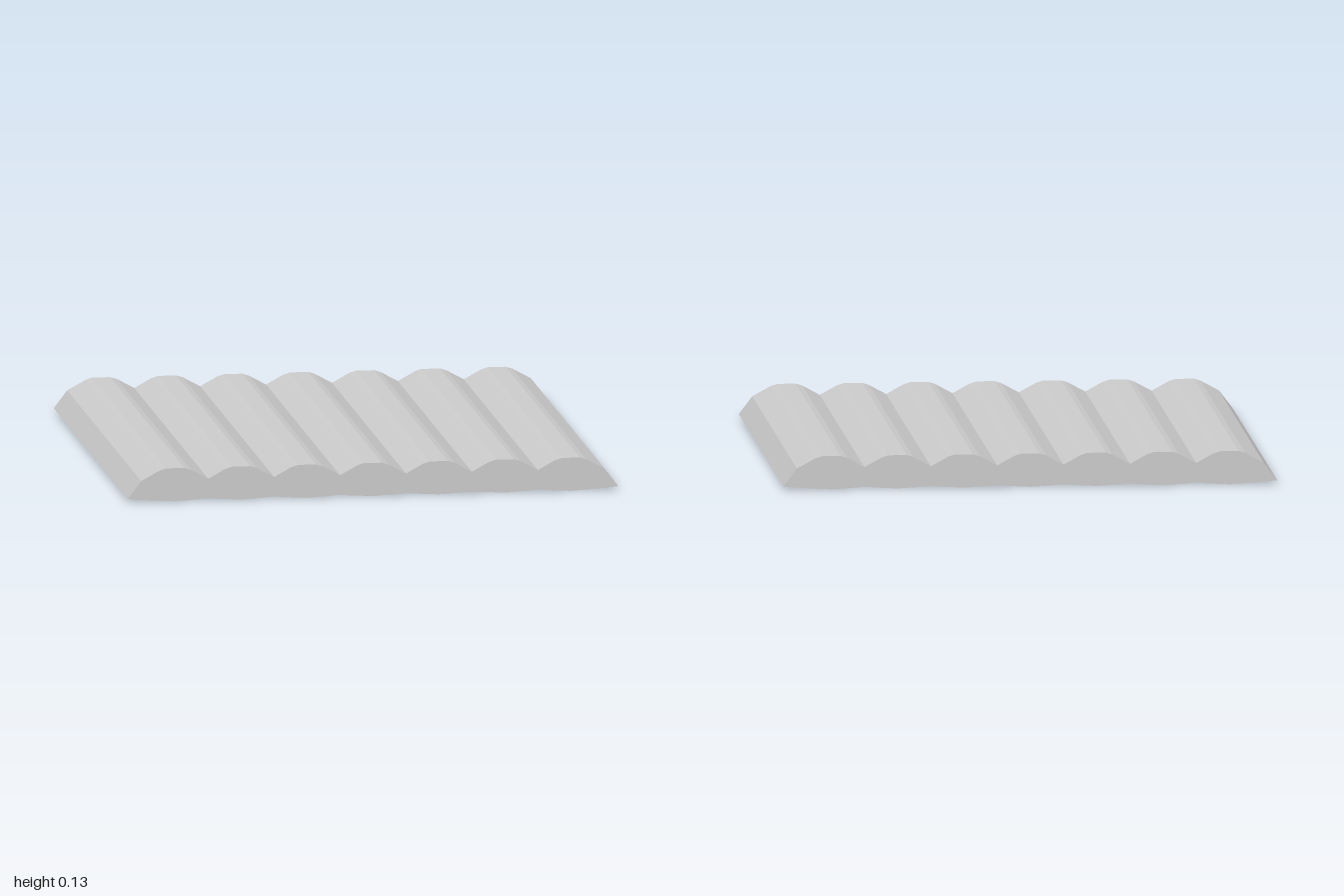
import * as THREE from 'three';

const COUNT = 7, SPACING = 0.261, HALF_LENGTH = 1;

// Half of the rounded arch section, from the foot up to the crown
const HALF = [[0.188, 0.014], [0.135, 0.084], [0.062, 0.124], [0.036, 0.132]];
const ARCH = [...HALF, ...HALF.map(([x, y]) => [-x, y]).reverse()];
// Shallow sagging lower edge of the end plates
const SAG = [[-0.1, 0.006], [0, 0], [0.1, 0.006]];

// Open-bottomed sheet: the arch section swept along z
function sheetGeometry() {
  const pos = [];
  for (let i = 0; i < ARCH.length - 1; i++) {
    const [ax, ay] = ARCH[i], [bx, by] = ARCH[i + 1], L = HALF_LENGTH;
    pos.push(ax, ay, L, ax, ay, -L, bx, by, -L);
    pos.push(ax, ay, L, bx, by, -L, bx, by, L);
  }
  const geo = new THREE.BufferGeometry();
  geo.setAttribute('position', new THREE.Float32BufferAttribute(pos, 3));
  geo.computeVertexNormals();
  return geo;
}

export function createModel() {
  const model = new THREE.Group();
  model.name = 'ribbedPanel';
  const material = new THREE.MeshStandardMaterial({
    color: 0xcccccc, flatShading: true, side: THREE.DoubleSide,
  });
  const sheet = sheetGeometry();
  const plate = new THREE.ShapeGeometry(
    new THREE.Shape([...ARCH, ...SAG].map(([x, y]) => new THREE.Vector2(x, y))));

  // Overlapping ribs side by side, each closed at both ends
  for (let i = 0; i < COUNT; i++) {
    const rib = new THREE.Group();
    rib.name = `rib${i + 1}`;
    rib.position.x = (i - (COUNT - 1) / 2) * SPACING;

    const arch = new THREE.Mesh(sheet, material);
    arch.name = 'archedSheet';
    const front = new THREE.Mesh(plate, material);
    front.name = 'frontEndPlate';
    front.position.z = HALF_LENGTH;
    const back = new THREE.Mesh(plate, material);
    back.name = 'backEndPlate';
    back.position.z = -HALF_LENGTH;
    back.rotation.y = Math.PI;

    rib.add(arch, front, back);
    model.add(rib);
  }
  return model;
}
